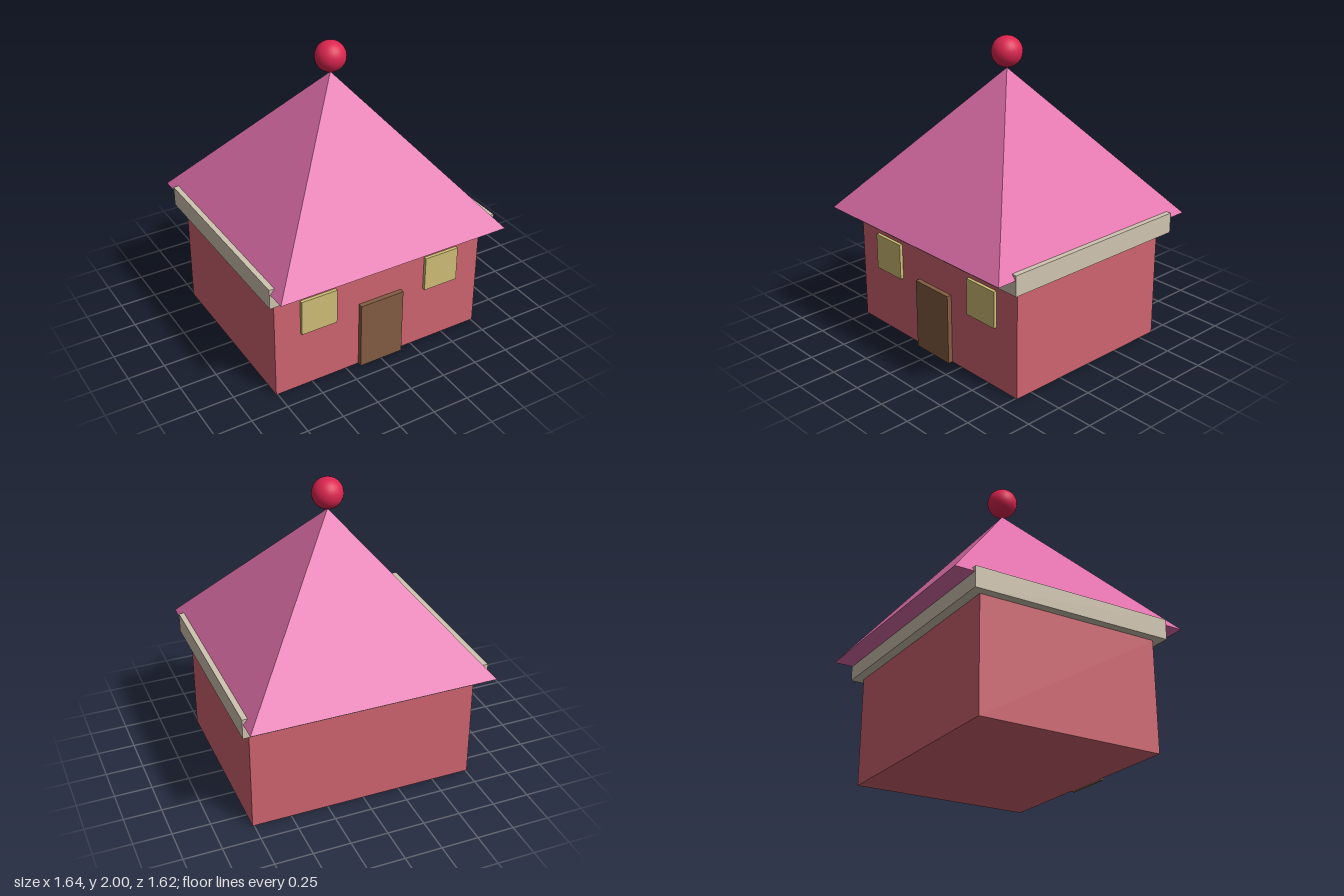
import * as THREE from 'three';

const material = (name, color, flatShading = false) => {
  const m = new THREE.MeshStandardMaterial({ color, flatShading });
  m.name = name;
  return m;
};

export function createModel() {
  const house = new THREE.Group();
  house.name = 'house';

  const wallRed = material('wall red', 0xcf6470);
  const trimBeige = material('trim beige', 0xcfc4b0);
  const roofPink = material('roof pink', 0xe070ab, true);
  const ballCrimson = material('ball crimson', 0xdc2550);
  const windowYellow = material('window yellow', 0xcfbe76);
  const doorBrown = material('door brown', 0x845c43);

  const add = (name, geometry, mat, x, y, z) => {
    const mesh = new THREE.Mesh(geometry, mat);
    mesh.name = name;
    mesh.position.set(x, y, z);
    house.add(mesh);
    return mesh;
  };
  // Box given by its size, bottom height and centre
  const box = (name, mat, w, h, d, x, bottom, z) =>
    add(name, new THREE.BoxGeometry(w, h, d), mat, x, bottom + h / 2, z);

  // Walls and the eaves band around their top
  box('walls', wallRed, 1.52, 0.73, 1.236, 0, 0, 0);
  box('eavesBand', trimBeige, 1.636, 0.135, 1.364, 0, 0.73, 0);

  // Square pyramid roof, closed underneath
  const roof = new THREE.ConeGeometry(0.812 * Math.SQRT2, 0.965, 4);
  roof.rotateY(Math.PI / 4);
  add('roof', roof, roofPink, 0, 0.83 + 0.965 / 2, 0);

  // Ball on the peak
  add('roofBall', new THREE.SphereGeometry(0.101, 24, 16), ballCrimson, 0, 1.899, 0);

  // Door and windows stand slightly proud of the front wall
  box('door', doorBrown, 0.314, 0.474, 0.06, 0, 0, 0.62);
  for (const side of [-1, 1]) {
    box(side > 0 ? 'leftWindow' : 'rightWindow', windowYellow, 0.25, 0.244, 0.04, side * 0.455, 0.416, 0.62);
  }

  return house;
}
